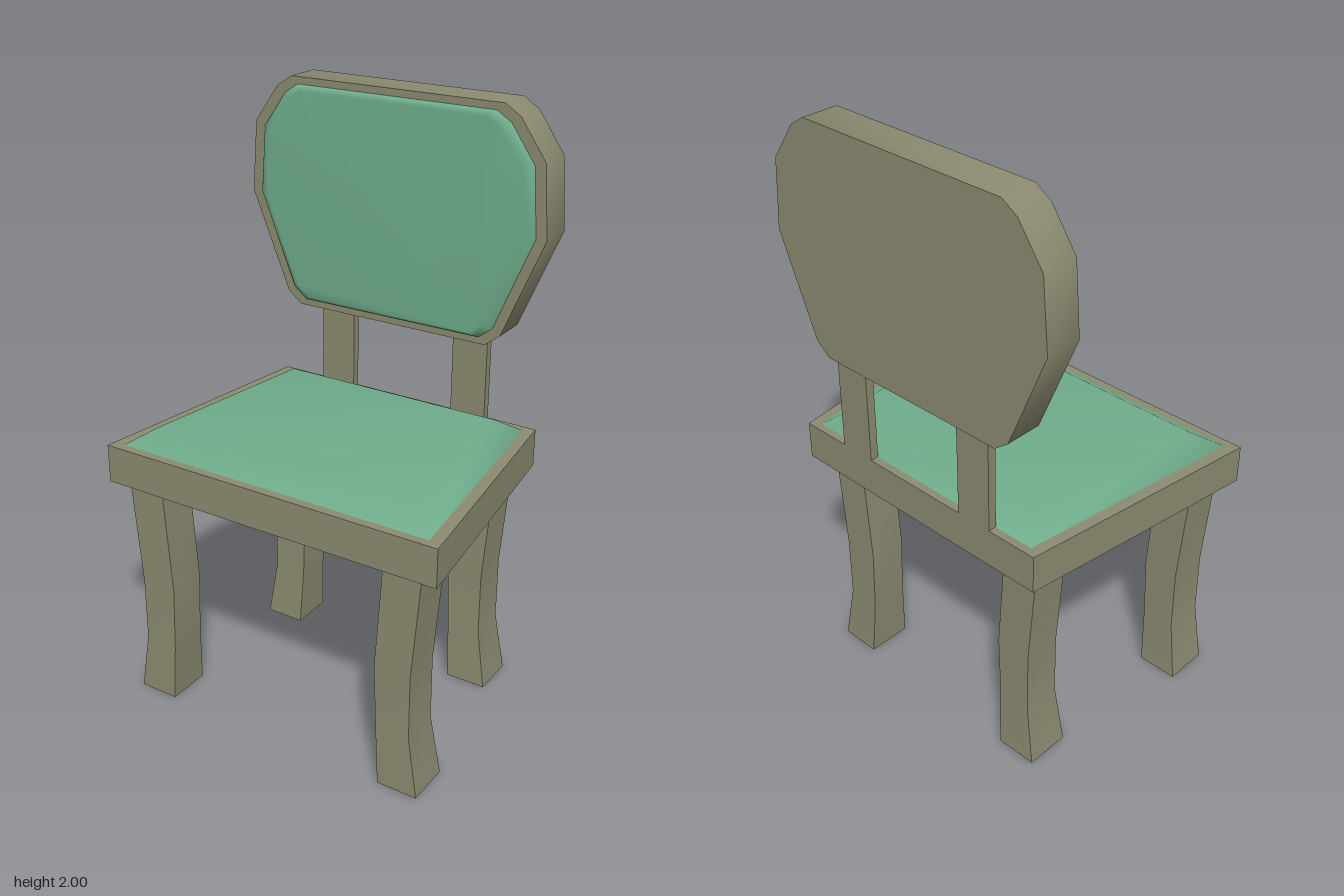
import * as THREE from 'three';
import { toCreasedNormals } from 'three/addons/utils/BufferGeometryUtils.js';

// Skins matching loops of [x, y, z] points; each loop runs counterclockwise seen from the last one
function loft(loops, capStart, capEnd) {
  const n = loops[0].length;
  const index = [];
  for (let r = 0; r < loops.length - 1; r++) {
    for (let i = 0; i < n; i++) {
      const a = r * n + i, b = r * n + (i + 1) % n;
      index.push(a, b, b + n, a, b + n, a + n);
    }
  }
  const last = (loops.length - 1) * n;
  for (let i = 1; i < n - 1; i++) {
    if (capStart) index.push(0, i + 1, i);
    if (capEnd) index.push(last, last + i, last + i + 1);
  }
  const geometry = new THREE.BufferGeometry();
  geometry.setAttribute('position', new THREE.Float32BufferAttribute(loops.flat(2), 3));
  geometry.setIndex(index);
  geometry.computeVertexNormals();
  return geometry;
}

// Trapezoid as [x, z] corners
const trapezoid = (xFront, zFront, xBack, zBack) =>
  [[-xFront, zFront], [xFront, zFront], [xBack, zBack], [-xBack, zBack]];

export function createModel() {
  const group = new THREE.Group();
  const wood = new THREE.MeshStandardMaterial({ color: 0x8b8a70, side: THREE.DoubleSide });
  wood.name = 'olive wood';
  const fabric = new THREE.MeshStandardMaterial({ color: 0x6eac8b });
  fabric.name = 'green fabric';

  function add(name, geometry, material) {
    const mesh = new THREE.Mesh(geometry, material);
    mesh.name = name;
    group.add(mesh);
    return mesh;
  }
  const toVectors = (points) => points.map(([x, y]) => new THREE.Vector2(x, y));

  // Seat frame: open trapezoid ring
  const seatHole = trapezoid(0.563, 0.397, 0.463, -0.4);
  const seatShape = new THREE.Shape(toVectors(trapezoid(0.607, 0.427, 0.497, -0.427)));
  seatShape.holes.push(new THREE.Path(toVectors(seatHole)));
  const frame = new THREE.ExtrudeGeometry(seatShape, { depth: 0.13, bevelEnabled: false });
  frame.rotateX(Math.PI / 2).translate(0, 0.92, 0);
  add('seatFrame', frame, wood);

  // Seat cushion: soft sloping rim, flat top
  const level = (points, y) => points.map(([x, z]) => [x, y, z]);
  const seatTop = trapezoid(0.482, 0.32, 0.395, -0.32);
  add('seatCushion', loft([level(seatHole, 0.92), level(seatTop, 0.973)], false, true), fabric);
  add('seatUnderside', loft([level(seatHole, 0.85), level(seatHole, 0.851)], true, false), fabric);

  // Legs: hollow square tubes, bowed inward and flared at the foot
  // Each section: y, inner x, outer x, extra depth
  const legSections = [
    [0, 0.407, 0.547, 0.012],
    [0.21, 0.396, 0.514, 0],
    [0.43, 0.388, 0.514, 0],
    [0.8, 0.414, 0.545, 0],
  ];
  const legSpots = [
    { name: 'front', shift: 0, zFront: 0.4, zBack: 0.263, flareFront: 0.3 },
    { name: 'back', shift: -0.093, zFront: -0.232, zBack: -0.363, flareFront: 0.8 },
  ];
  for (const spot of legSpots) {
    for (const side of [1, -1]) {
      const loops = legSections.map(([y, inner, outer, flare]) => {
        const xs = [side * (inner + spot.shift), side * (outer + spot.shift)];
        const x0 = Math.min(...xs), x1 = Math.max(...xs);
        const z1 = spot.zFront + flare * spot.flareFront, z0 = spot.zBack - flare;
        return [[x0, y, z1], [x1, y, z1], [x1, y, z0], [x0, y, z0]];
      });
      const leg = toCreasedNormals(loft(loops, false, false), 0.6);
      add(spot.name + (side > 0 ? 'LeftLeg' : 'RightLeg'), leg, wood);
    }
  }

  // Backrest posts
  for (const side of [1, -1]) {
    const post = add(side > 0 ? 'leftPost' : 'rightPost', new THREE.BoxGeometry(0.127, 0.33, 0.029), wood);
    post.position.set(side * 0.257, 1.075, -0.4125);
  }

  // Backrest panel: mirrored outline, counterclockwise from the front
  const half = [[0.353, 1.23], [0.404, 1.27], [0.543, 1.605], [0.525, 1.84], [0.437, 1.965], [0.382, 2]];
  const outline = [...half, ...half.map(([x, y]) => [-x, y]).reverse()];
  const panel = new THREE.ExtrudeGeometry(new THREE.Shape(toVectors(outline)), { depth: 0.125, bevelEnabled: false });
  panel.translate(0, 0, -0.43);
  const backPanel = add('backrestPanel', toCreasedNormals(panel, 0.6), wood);

  // Backrest cushion: same outline scaled down, with a sloping rim
  const inset = (sx, sy, z) => outline.map(([x, y]) => [x * sx, 1.615 + (y - 1.615) * sy, z]);
  const backCushion = add('backrestCushion',
    loft([inset(0.935, 0.94, -0.306), inset(0.92, 0.93, -0.295), inset(0.865, 0.895, -0.282)], false, true), fabric);
  backPanel.position.x = backCushion.position.x = 0.004;

  return group;
}
